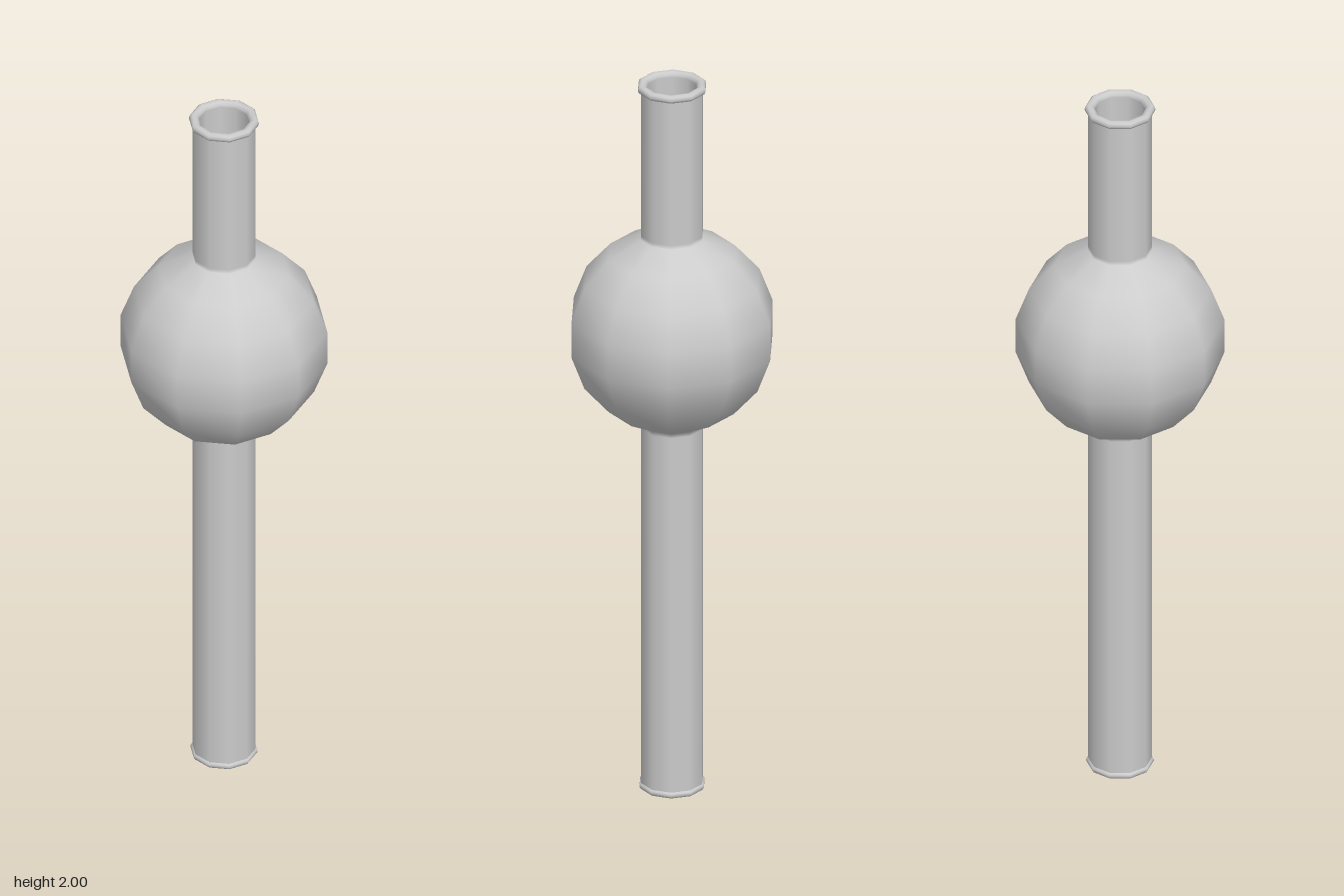
import * as THREE from 'three';

const SIDES = 10;
const PHI = THREE.MathUtils.degToRad(14.4); // turn of the ten-sided section
const BULB_Y = 1.3;

const material = new THREE.MeshStandardMaterial({ color: 0xcccccc });

function lathe(name, profile) {
  const points = profile.map(([r, y]) => new THREE.Vector2(r, y));
  const mesh = new THREE.Mesh(new THREE.LatheGeometry(points, SIDES, PHI), material);
  mesh.name = name;
  return mesh;
}

// Tube-bulb-tube profile from bottom to top
function wall(tubeR, bulbR, yBottom, yTop) {
  const a = Math.acos(tubeR / bulbR), rings = 7;
  const h = bulbR * Math.sin(a);
  const pts = [[tubeR, yBottom], [tubeR, BULB_Y - h - 0.012]];
  for (let i = 0; i <= rings; i++) {
    const t = -a + (2 * a * i) / rings;
    pts.push([bulbR * Math.cos(t), BULB_Y + bulbR * Math.sin(t)]);
  }
  pts.push([tubeR, BULB_Y + h + 0.012], [tubeR, yTop]);
  return pts;
}

export function createModel() {
  const group = new THREE.Group();
  group.name = 'bulbTube';

  // Outer skin and hollow bore
  group.add(lathe('outerWall', wall(0.083, 0.275, 0.018, 1.978)));
  group.add(lathe('innerWall', wall(0.067, 0.259, 0.012, 1.985).reverse()));

  // Rolled lip at the top
  group.add(lathe('topLip', [
    [0.083, 1.978], [0.089, 1.981], [0.092, 1.988], [0.09, 1.996],
    [0.083, 2], [0.073, 1.998], [0.067, 1.992], [0.067, 1.985],
  ]));

  // Smaller lip at the bottom
  group.add(lathe('bottomLip', [
    [0.067, 0.012], [0.069, 0.004], [0.076, 0], [0.084, 0.002],
    [0.088, 0.008], [0.087, 0.014], [0.083, 0.018],
  ]));

  return group;
}
